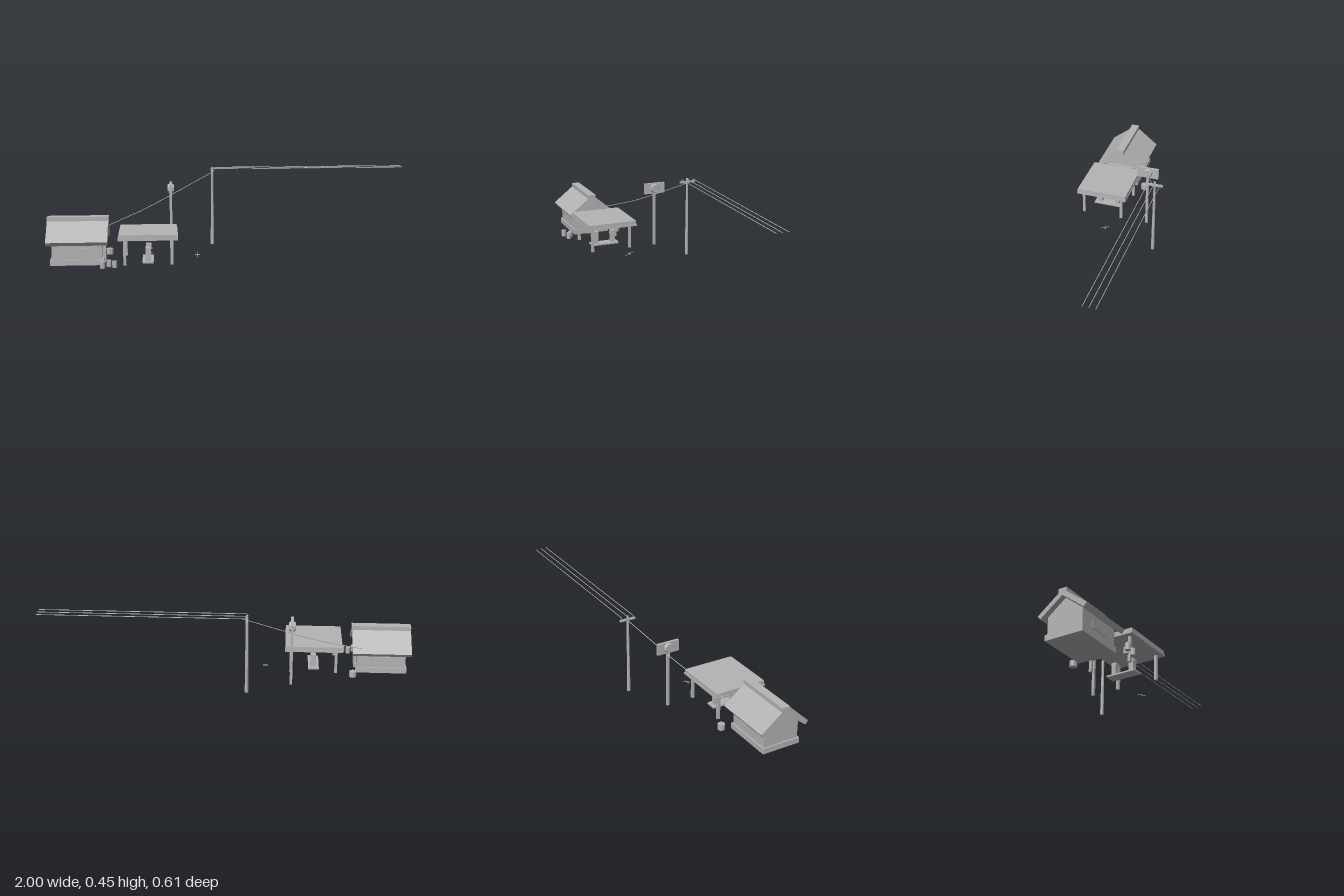
import * as THREE from 'three';

export function createModel() {
  const model = new THREE.Group();
  const grey = new THREE.MeshStandardMaterial({ color: 0xb4b4b4 });
  grey.name = 'plain grey';
  grey.flatShading = true;

  function add(name, geometry, x = 0, y = 0, z = 0) {
    const mesh = new THREE.Mesh(geometry, grey);
    mesh.name = name;
    mesh.position.set(x, y, z);
    model.add(mesh);
    return mesh;
  }

  // Box given by its limits on each axis
  const box = (name, x0, x1, y0, y1, z0, z1) =>
    add(name, new THREE.BoxGeometry(x1 - x0, y1 - y0, z1 - z0), (x0 + x1) / 2, (y0 + y1) / 2, (z0 + z1) / 2);

  // Profile of [z, y] points swept along x from x0 to x1
  function sweep(name, points, x0, x1) {
    const shape = new THREE.Shape(points.map(([z, y]) => new THREE.Vector2(z, y)));
    const mesh = add(name, new THREE.ExtrudeGeometry(shape, { depth: x1 - x0, bevelEnabled: false }), x1);
    mesh.rotation.y = -Math.PI / 2;
  }

  // Thin rod between two points
  function rod(name, a, b, radius, sides = 5) {
    const from = new THREE.Vector3(...a), to = new THREE.Vector3(...b);
    const dir = to.clone().sub(from);
    const mesh = add(name, new THREE.CylinderGeometry(radius, radius, dir.length(), sides));
    mesh.position.copy(from).add(to).multiplyScalar(0.5);
    mesh.quaternion.setFromUnitVectors(new THREE.Vector3(0, 1, 0), dir.normalize());
  }

  // House: gabled walls on a plinth
  const mid = 0.115;
  sweep('houseWalls', [[mid - 0.1, 0], [mid + 0.1, 0], [mid + 0.1, 0.126], [mid, 0.205], [mid - 0.1, 0.126]], -0.972, -0.705);
  box('plinth', -0.98, -0.698, 0, 0.031, 0.007, 0.223);

  // Roof: one folded slab and a ridge cap
  sweep('roof', [
    [mid - 0.14, 0.13], [mid - 0.125, 0.11], [mid, 0.207], [mid + 0.125, 0.11], [mid + 0.14, 0.13], [mid, 0.24],
  ], -1, -0.676);
  box('ridgeCap', -1, -0.672, 0.214, 0.245, 0.092, 0.138);

  // Windows on both long sides, door and fascia board on the gable end
  box('frontWindow', -0.895, -0.785, 0.053, 0.092, 0.212, 0.219);
  box('backWindow', -0.895, -0.785, 0.053, 0.092, 0.009, 0.016);
  box('door', -0.71, -0.69, 0, 0.083, 0.076, 0.154);
  box('fasciaBoard', -0.708, -0.688, 0.095, 0.125, 0.032, 0.198);

  // Canopy on four posts
  box('canopyRim', -0.622, -0.304, 0.137, 0.148, -0.034, 0.263);
  box('canopyTop', -0.618, -0.308, 0.148, 0.167, -0.031, 0.26);
  for (const x of [-0.587, -0.337])
    for (const z of [0, 0.229]) box('canopyPost', x - 0.0075, x + 0.0075, 0, 0.138, z - 0.0075, z + 0.0075);

  // Island with two pumps
  box('pumpIsland', -0.495, -0.435, 0, 0.009, 0.032, 0.198);
  for (const z of [0.167, 0.063]) {
    box('pumpBody', -0.479, -0.45, 0.009, 0.062, z - 0.0125, z + 0.0125);
    box('pumpHead', -0.477, -0.448, 0.062, 0.081, z - 0.014, z + 0.014);
    rod('pumpNozzle', [-0.452, 0.052, z], [-0.442, 0.052, z], 0.0035, 8);
  }

  // Barrels around the house
  const barrels = [[-0.68, -0.041, 0.02, 0.031], [-0.668, 0.259, 0.013, 0.036], [-0.7, 0.29, 0.014, 0.036], [-0.638, 0.279, 0.013, 0.036]];
  for (const [x, z, r, h] of barrels) add('barrel', new THREE.CylinderGeometry(r, r, h, 8), x, h / 2, z);

  // Roadside sign: post, board and a bevelled octagonal boss through it
  box('signPost', -0.345, -0.331, 0, 0.32, -0.162, -0.148);
  box('signBoard', -0.345, -0.331, 0.313, 0.375, -0.218, -0.094);
  for (const side of [1, -1]) {
    const boss = add('signBoss', new THREE.CylinderGeometry(0.023, 0.029, 0.012, 8), -0.338 + side * 0.012, 0.345, -0.156);
    boss.rotation.set(Math.PI / 8, 0, -side * Math.PI / 2, 'ZYX');
    boss.rotation.set(0, 0, -side * Math.PI / 2);
    boss.rotateY(Math.PI / 8);
  }

  // Utility pole with cross arm
  add('utilityPole', new THREE.CylinderGeometry(0.0065, 0.0098, 0.449, 8), -0.1, 0.2245, -0.26);
  box('crossArm', -0.106, -0.094, 0.423, 0.433, -0.305, -0.216);

  // Power lines and the sagging house cable
  for (const z of [-0.294, -0.26, -0.227]) {
    rod('powerLine', [-0.1, 0.443, z], [1, 0.443, z], 0.002);
    rod('insulator', [-0.1, 0.432, z], [-0.1, 0.445, z], 0.002);
  }
  const cable = [[-0.727, 0.15, 0], [-0.5, 0.233, -0.093], [-0.365, 0.293, -0.15], [-0.1, 0.42, -0.258]];
  for (let i = 0; i < 3; i++) rod('houseCable', cable[i], cable[i + 1], 0.002);

  // Small seesaw: plank over an axle
  rod('seesawPlank', [-0.195, 0.001, 0.08], [-0.195, 0.022, 0.028], 0.0015);
  rod('seesawAxle', [-0.21, 0.01, 0.053], [-0.182, 0.01, 0.053], 0.0025);

  return model;
}
